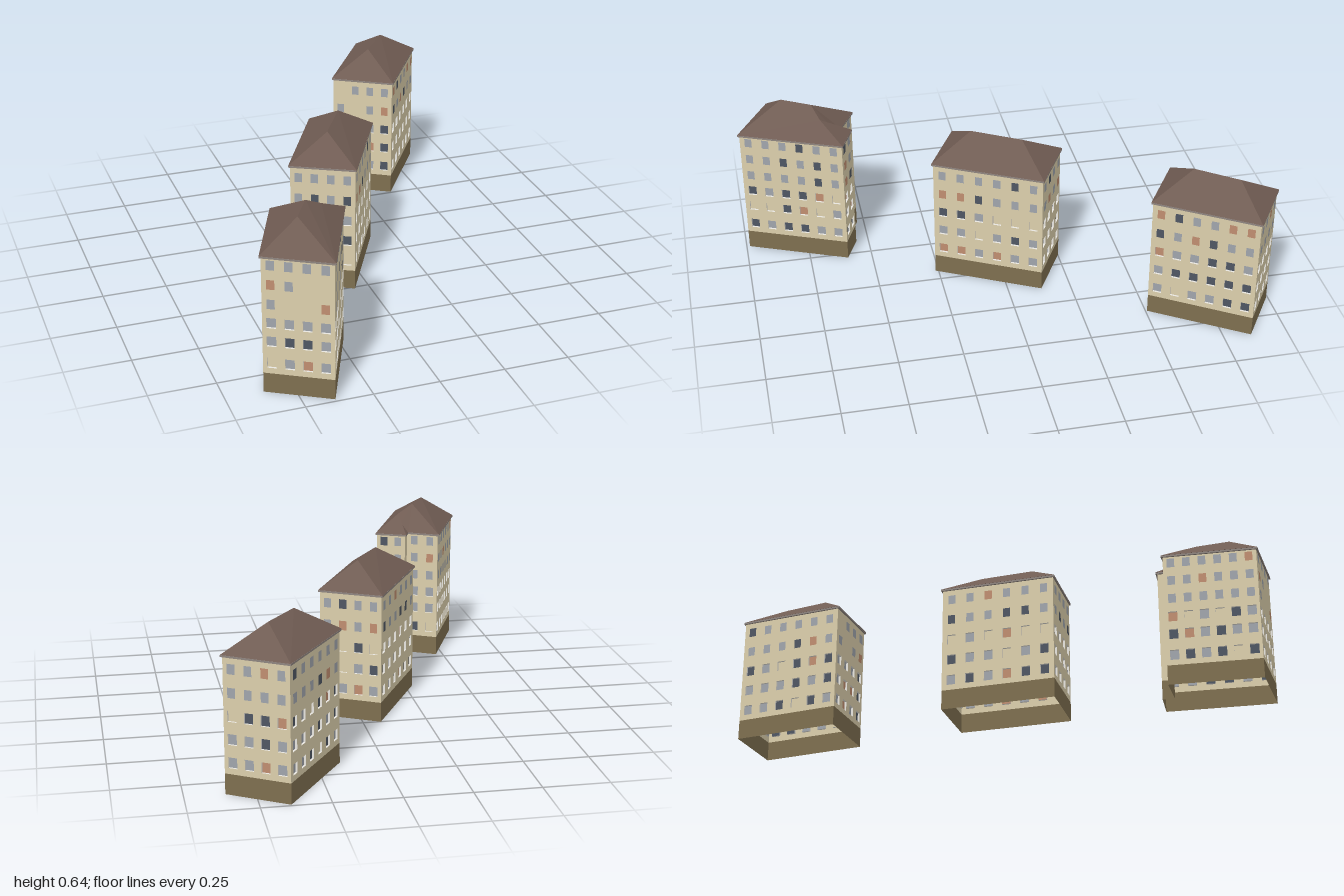
import * as THREE from 'three';

const mat = (name, color) => new THREE.MeshStandardMaterial({ name, color, side: THREE.DoubleSide });
const M = {
  wall: mat('cream plaster', 0xdccfac),
  base: mat('brown plinth', 0x7e6f50),
  roof: mat('brown roof', 0x705c53),
  eaves: mat('grey eaves', 0x8f8580),
  reveal: mat('white reveal', 0xf4f2ec),
  grey: mat('grey glass', 0xa0a5ac),
  dark: mat('dark glass', 0x4f5763),
  warm: mat('warm curtain', 0xc08e70),
};
const PLINTH = 0.078;
const OPEN = { w: 0.034, h: 0.04, depth: 0.008 };
const PANES = { g: M.grey, d: M.dark, o: M.warm, c: M.wall };

// Seeded generator for the mix of window colours
let seed = 7;
const rand = () => (seed = (seed * 16807) % 2147483647) / 2147483647;
const pick = (mix) => mix[Math.floor(rand() * mix.length)];
const LOWER_MIX = 'gggggggddddddoocc', UPPER_MIX = 'gggggggggggddddoo';

const paneGeo = new THREE.PlaneGeometry(OPEN.w, OPEN.h);
const flatPaneGeo = new THREE.PlaneGeometry(0.029, 0.037);
// Four-sided sleeve lining each opening (a box without front and back)
const revealGeo = new THREE.BoxGeometry(OPEN.w, OPEN.h, OPEN.depth);
revealGeo.setIndex(Array.from(revealGeo.index.array).slice(0, 24));
revealGeo.clearGroups();

function add(parent, name, geo, material, x = 0, y = 0, z = 0) {
  const m = new THREE.Mesh(geo, material);
  m.name = name;
  m.position.set(x, y, z);
  parent.add(m);
}

// Pulls the outline [x, z] inwards by d
function inset(pts, d) {
  const n = pts.length;
  const normal = (a, b) => {
    const l = Math.hypot(b[0] - a[0], b[1] - a[1]);
    return [-(b[1] - a[1]) / l, (b[0] - a[0]) / l];
  };
  return pts.map((p, i) => {
    const n1 = normal(pts[(i + n - 1) % n], p), n2 = normal(p, pts[(i + 1) % n]);
    const k = d / (1 + n1[0] * n2[0] + n1[1] * n2[1]);
    return [p[0] - k * (n1[0] + n2[0]), p[1] - k * (n1[1] + n2[1])];
  });
}

const rect = (Cls, x0, y0, x1, y1) => new Cls([[x0, y0], [x1, y0], [x1, y1], [x0, y1]]
  .map(([x, y]) => new THREE.Vector2(x, y)));

// One facade from a to b: local x runs along it, local z points outwards.
// pattern lists pane colours per row from the bottom, '-' leaves a blank wall
function facade(a, b, top, cols, openRows, flatRows, pattern) {
  const g = new THREE.Group();
  g.name = 'facade';
  const len = Math.hypot(b[0] - a[0], b[1] - a[1]);
  g.position.set(a[0], 0, a[1]);
  g.rotation.y = Math.atan2(-(b[1] - a[1]), b[0] - a[0]);

  const wall = rect(THREE.Shape, 0, PLINTH, len, top);
  [...openRows, ...flatRows].forEach((y, row) => {
    const open = row < openRows.length;
    for (let c = 0; c < cols; c++) {
      const x = ((c + 0.5) / cols) * len;
      const key = pattern ? pattern[row][c] : pick(open ? LOWER_MIX : UPPER_MIX);
      if (open) {
        wall.holes.push(rect(THREE.Path, x - OPEN.w / 2, y - OPEN.h / 2, x + OPEN.w / 2, y + OPEN.h / 2));
        add(g, 'windowReveal', revealGeo, M.reveal, x, y, -OPEN.depth / 2);
        add(g, 'recessedWindow', paneGeo, PANES[key], x, y, -OPEN.depth);
      } else if (key !== '-') {
        add(g, 'upperWindow', flatPaneGeo, PANES[key], x, y, 0.0015);
      }
    }
  });
  add(g, 'wall', new THREE.ShapeGeometry(wall), M.wall);
  add(g, 'plinth', new THREE.ShapeGeometry(rect(THREE.Shape, 0, 0, len, PLINTH)), M.base);
  return g;
}

// Roof slopes: each polygon is fanned into triangles facing upwards
function roofGeometry(points, faces) {
  const pos = [];
  const v = points.map((p) => new THREE.Vector3(...p));
  for (const f of faces) {
    for (let i = 1; i < f.length - 1; i++) {
      const t = [v[f[0]], v[f[i]], v[f[i + 1]]];
      const up = t[1].clone().sub(t[0]).cross(t[2].clone().sub(t[0])).y;
      if (up < 0) t.reverse();
      t.forEach((p) => pos.push(p.x, p.y, p.z));
    }
  }
  const geo = new THREE.BufferGeometry();
  geo.setAttribute('position', new THREE.Float32BufferAttribute(pos, 3));
  geo.computeVertexNormals();
  return geo;
}

function building({ name, outline, cols, eave, openRows, flatRows, pattern, ridge, faces }) {
  const g = new THREE.Group();
  g.name = name;
  const walls = inset(outline, 0.006);
  walls.forEach((a, i) => {
    const b = walls[(i + 1) % walls.length];
    g.add(facade(a, b, eave, cols[i], openRows, flatRows, i === 0 ? pattern : null));
  });
  // Thin eaves slab under the slopes
  const slab = new THREE.Shape(outline.map(([x, z]) => new THREE.Vector2(x, -z)));
  const slabGeo = new THREE.ExtrudeGeometry(slab, { depth: 0.007, bevelEnabled: false });
  slabGeo.rotateX(-Math.PI / 2);
  add(g, 'eaves', slabGeo, M.eaves, 0, eave, 0);
  const pts = [...outline.map(([x, z]) => [x, eave + 0.0075, z]), ...ridge];
  add(g, 'roof', roofGeometry(pts, faces), M.roof);
  return g;
}

export function createModel() {
  const root = new THREE.Group();
  root.name = 'apartmentBlocks';
  const openRows = [0.12, 0.206, 0.291];
  // Plain hipped roof: corners 0-3, front ridge end 4, back ridge end 5
  const hip = [[0, 1, 4], [1, 2, 5, 4], [2, 3, 5], [3, 0, 4, 5]];

  root.add(building({
    name: 'backBlock',
    outline: [[0.153, -0.638], [0.379, -0.498], [0.613, -0.86], [0.39, -1]],
    cols: [4, 6, 4, 6], eave: 0.504, openRows, flatRows: [0.377, 0.463],
    pattern: ['gogd', 'good', 'gggd', 'g-go', '-ggg'],
    ridge: [[0.33, 0.609, -0.676], [0.441, 0.609, -0.824]], faces: hip,
  }));
  root.add(building({
    name: 'middleBlock',
    outline: [[-0.288, 0.146], [-0.056, 0.27], [0.156, -0.135], [-0.072, -0.26]],
    cols: [4, 6, 4, 6], eave: 0.504, openRows, flatRows: [0.377, 0.463],
    pattern: ['gggc', 'gggd', 'ggog', 'gdgd', 'gggg'],
    ridge: [[-0.115, 0.609, 0.099], [-0.009, 0.609, -0.083]], faces: hip,
  }));
  // The front block has a stepped back wall and a small lower hip over the step
  root.add(building({
    name: 'frontBlock',
    outline: [[-0.616, 0.86], [-0.384, 0.996], [-0.214, 0.595], [-0.336, 0.542], [-0.354, 0.585], [-0.474, 0.521]],
    cols: [4, 6, 2, 0, 2, 6], eave: 0.531,
    openRows: [0.12, 0.206, 0.279], flatRows: [0.354, 0.43, 0.505],
    pattern: ['cgog', 'gddg', 'gggg', 'g--o', 'og--', 'gggg'],
    ridge: [[-0.46, 0.638, 0.807], [-0.394, 0.638, 0.694], [-0.328, 0.603, 0.668], [-0.331, 0.572, 0.628]],
    faces: [[0, 1, 6], [1, 2, 8, 7, 6], [2, 3, 8], [3, 9, 8], [3, 4, 9], [7, 5, 4, 9, 8], [5, 0, 6, 7]],
  }));
  return root;
}
